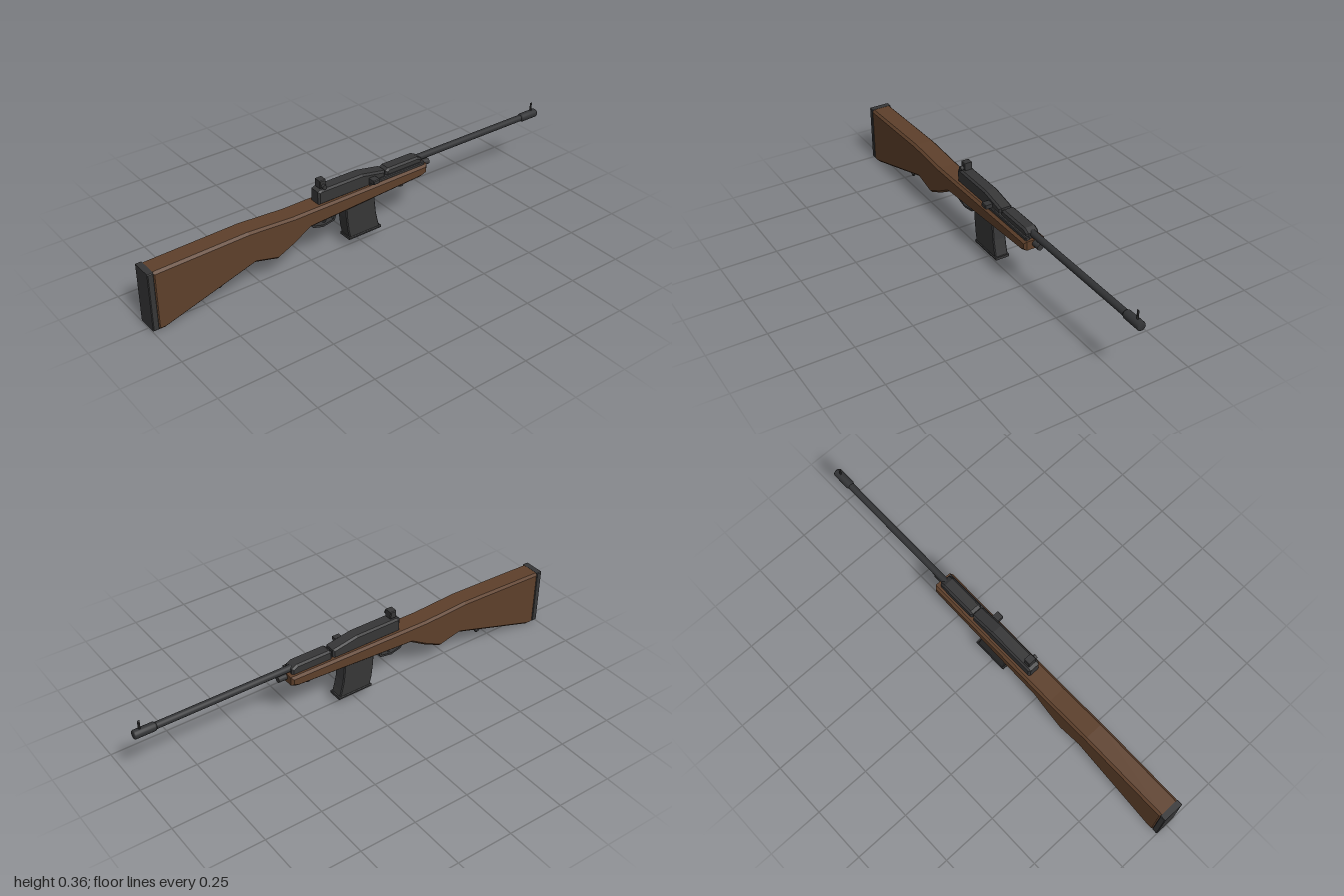
import * as THREE from 'three';

const CX = -0.008; // centre line of the body

export function createModel() {
  const group = new THREE.Group();
  const material = (name, color) => {
    const m = new THREE.MeshStandardMaterial({ color });
    m.name = name;
    return m;
  };
  const wood = material('walnut wood', 0x5e402b);
  const metal = material('dark steel', 0x363637);
  const barrelSteel = material('barrel steel', 0x323335);

  const add = (name, geometry, mat, x = 0, y = 0, z = 0) => {
    const mesh = new THREE.Mesh(geometry, mat);
    mesh.name = name;
    mesh.position.set(x, y, z);
    group.add(mesh);
    return mesh;
  };
  // Side profile of [z, y] points, extruded across x with chamfered edges
  const slab = (name, points, width, bevel, mat, x = CX) => {
    const shape = new THREE.Shape(points.map(([z, y]) => new THREE.Vector2(z, y)));
    const geometry = new THREE.ExtrudeGeometry(shape, {
      depth: width - 2 * bevel, bevelEnabled: bevel > 0, bevelSize: bevel,
      bevelThickness: bevel, bevelOffset: -bevel, bevelSegments: 1,
    });
    geometry.translate(0, 0, -(width - 2 * bevel) / 2);
    geometry.rotateY(-Math.PI / 2);
    return add(name, geometry, mat, x);
  };
  const box = (name, x0, x1, y0, y1, z0, z1, mat) =>
    slab(name, [[z0, y0], [z1, y0], [z1, y1], [z0, y1]], x1 - x0, 0.003, mat, (x0 + x1) / 2);
  // Round bar along z
  const rod = (name, r, z0, z1, x, y, mat, sides = 20) => {
    const geometry = new THREE.CylinderGeometry(r, r, z1 - z0, sides).rotateX(Math.PI / 2);
    return add(name, geometry, mat, x, y, (z0 + z1) / 2);
  };

  // Wooden stock and butt plate
  slab('stock', [
    [0.98, 0.012], [0.98, 0.266], [0.56, 0.277], [0.35, 0.265], [-0.33, 0.272],
    [-0.33, 0.232], [-0.3, 0.221], [0.27, 0.188], [0.35, 0.14], [0.43, 0.102],
    [0.535, 0.128], [0.945, 0.002], [0.97, 0.002],
  ], 0.096, 0.01, wood);
  box('buttPlate', -0.056, 0.04, 0.008, 0.267, 0.974, 1, metal);

  // Receiver and handguard
  slab('receiver', [
    [0.22, 0.262], [0.22, 0.322], [0.205, 0.328], [0, 0.328], [-0.118, 0.306], [-0.118, 0.262],
  ], 0.059, 0.008, metal);
  slab('handguard', [
    [-0.122, 0.262], [-0.122, 0.3], [-0.135, 0.31], [-0.29, 0.31], [-0.315, 0.297], [-0.315, 0.262],
  ], 0.057, 0.008, metal);

  // Operating rod with its handle
  box('operatingRod', 0.01, 0.03, 0.268, 0.284, -0.32, -0.03, metal);
  box('chargingHandle', 0.018, 0.055, 0.283, 0.302, -0.062, -0.03, metal);

  // Barrel, muzzle and front sight
  rod('barrel', 0.0145, -0.93, -0.25, -0.01, 0.289, barrelSteel);
  const muzzle = [[0, 0], [0.016, 0], [0.019, 0.005], [0.019, 0.086], [0.0145, 0.094], [0, 0.094]];
  const muzzleGeometry = new THREE.LatheGeometry(
    muzzle.map(([r, h]) => new THREE.Vector2(r, h)), 20).rotateX(Math.PI / 2);
  add('muzzle', muzzleGeometry, barrelSteel, -0.01, 0.289, -1);
  box('frontSight', -0.014, -0.006, 0.3, 0.345, -0.977, -0.967, metal);
  rod('bandLug', 0.014, -0.368, -0.32, CX, 0.256, metal, 16);

  // Rear sight with its adjusting knob
  box('rearSightBase', -0.02, 0.004, 0.32, 0.336, 0.18, 0.2, metal);
  box('rearSight', -0.027, 0.011, 0.331, 0.365, 0.176, 0.206, metal);
  const knob = new THREE.CylinderGeometry(0.01, 0.01, 0.014, 14).rotateZ(Math.PI / 2);
  add('rearSightKnob', knob, metal, 0.017, 0.339, 0.191);

  // Gently curved magazine with a floor plate
  slab('magazine', [
    [0.087, 0.225], [-0.062, 0.225], [-0.064, 0.18], [-0.07, 0.125], [-0.08, 0.08], [-0.089, 0.047],
    [0.066, 0.047], [0.076, 0.09], [0.083, 0.15],
  ], 0.06, 0.004, metal);
  box('magazineFloorPlate', CX - 0.034, CX + 0.034, 0.041, 0.053, -0.094, 0.072, metal);

  // Trigger guard, a flat strip bent under the stock
  slab('triggerGuard', [
    [0.262, 0.195], [0.238, 0.156], [0.19, 0.143], [0.132, 0.153], [0.112, 0.21],
    [0.122, 0.21], [0.139, 0.161], [0.19, 0.152], [0.232, 0.164], [0.252, 0.195],
  ], 0.026, 0, metal);
  slab('trigger', [
    [0.158, 0.205], [0.174, 0.205], [0.174, 0.175], [0.184, 0.157], [0.177, 0.155], [0.164, 0.173],
  ], 0.012, 0, metal);

  // Sling rings
  for (const [name, y, z] of [['rearSlingRing', 0.06, 0.68], ['frontSlingRing', 0.194, -0.224]]) {
    add(name, new THREE.TorusGeometry(0.0125, 0.0032, 8, 20).rotateY(Math.PI / 2), metal, CX, y, z);
  }

  return group;
}
